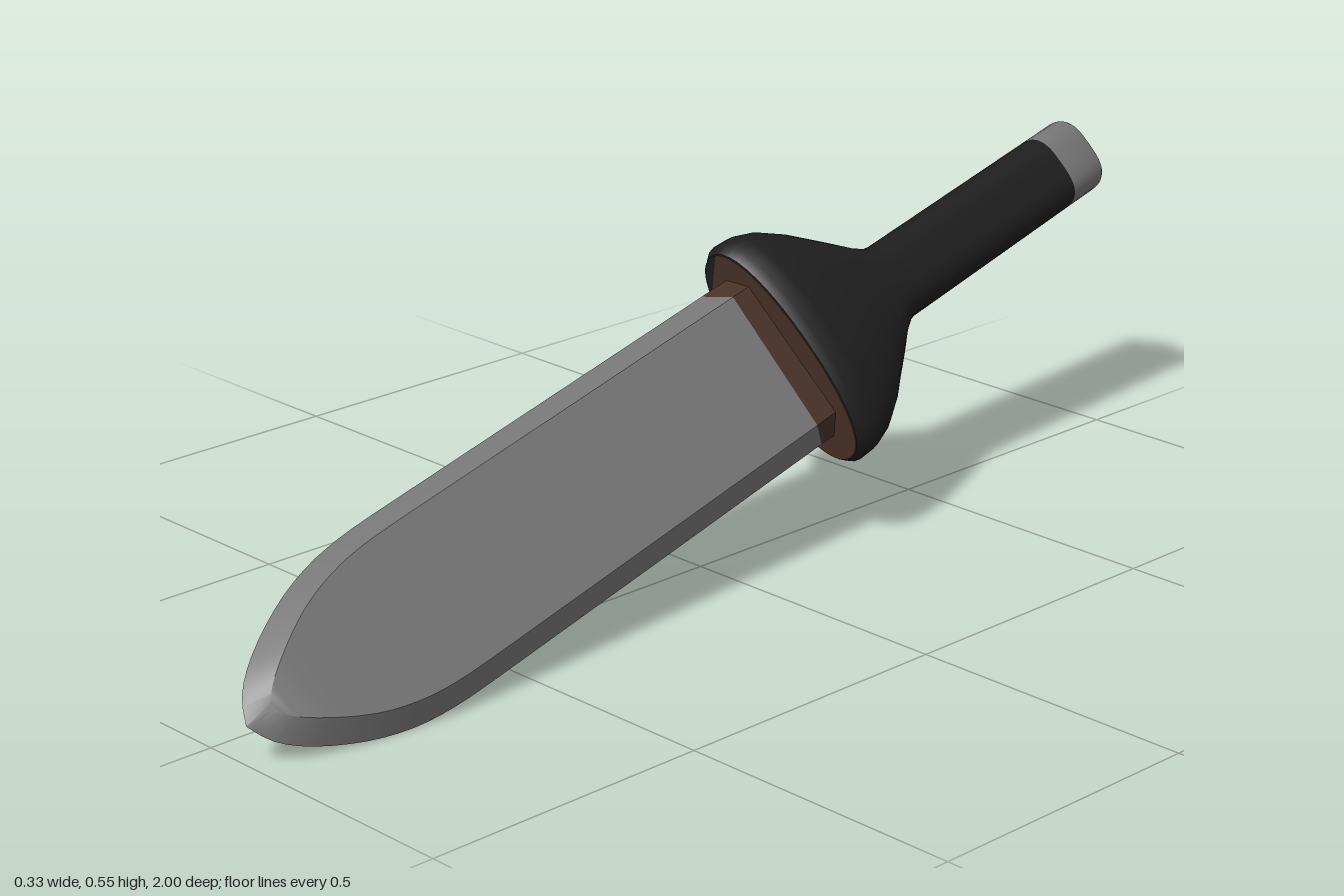
import * as THREE from 'three';
import { toCreasedNormals } from 'three/addons/utils/BufferGeometryUtils.js';

const mat = (name, color) => {
  const m = new THREE.MeshStandardMaterial({ color });
  m.name = name;
  return m;
};

// Skin a list of rings (each counter-clockwise about +z, ordered by rising z)
function loft(rings, crease, capStart = true, capEnd = true) {
  const n = rings[0].length;
  const pos = rings.flat(2);
  const idx = [];
  for (let i = 0; i < rings.length - 1; i++) {
    for (let j = 0; j < n; j++) {
      const k = (j + 1) % n;
      const a = i * n + j, b = i * n + k, c = a + n, d = b + n;
      idx.push(a, b, d, a, d, c);
    }
  }
  const last = (rings.length - 1) * n;
  for (let j = 1; j < n - 1; j++) {
    if (capStart) idx.push(0, j + 1, j);
    if (capEnd) idx.push(last, last + j, last + j + 1);
  }
  const g = new THREE.BufferGeometry();
  g.setAttribute('position', new THREE.Float32BufferAttribute(pos, 3));
  g.setIndex(idx);
  return toCreasedNormals(g, crease);
}

// Rounded-rectangle-like section: half sizes a and b, roundness power p
function oval(z, a, b, p, n = 40) {
  const pw = (v) => Math.sign(v) * Math.abs(v) ** (2 / p);
  return Array.from({ length: n }, (_, i) => {
    const t = (i / n) * Math.PI * 2;
    return [a * pw(Math.cos(t)), b * pw(Math.sin(t)), z];
  });
}

// Six-sided blade section: edge at (zE, w), flat corner at (zI, wi), half thickness t
const bladeRing = (zE, w, zI, wi, t) => [
  [w, 0, zE], [wi, t, zI], [-wi, t, zI], [-w, 0, zE], [-wi, -t, zI], [wi, -t, zI],
];

export function createModel() {
  const steel = mat('steel', 0x777777);
  const black = mat('black grip', 0x1e1e1e);
  const brown = mat('brown', 0x4a3329);
  const knife = new THREE.Group();
  knife.name = 'knife';
  const add = (name, geo, material) => {
    const m = new THREE.Mesh(geo, material);
    m.name = name;
    knife.add(m);
  };

  // Blade: straight sides, then curved to a point on the axis
  const W = 0.155, WI = 0.125, T = 0.037;
  const edge = new THREE.SplineCurve([
    [0.8, W], [0.88, 0.153], [0.96, 0.143], [1.04, 0.119], [1.12, 0.08], [1.17, 0.041], [1.194, 0],
  ].map((p) => new THREE.Vector2(...p)));
  const flat = new THREE.SplineCurve([
    [0.8, WI], [0.88, 0.123], [0.95, 0.114], [1.02, 0.094], [1.09, 0.06], [1.135, 0.029], [1.16, 0],
  ].map((p) => new THREE.Vector2(...p)));
  const wavy = [0.005, 0.02, 0.012, 0.035, 0.02, 0.015];
  const seam = bladeRing(0, W, 0, WI, T).map(([x, y], i) => [x, y, wavy[i]]);
  const rings = [seam];
  const N = 18;
  for (let i = 0; i <= N; i++) {
    const e = edge.getPoint(i / N), f = flat.getPoint(i / N);
    const t = T - 0.014 * Math.max(0, (i / N - 0.7) / 0.3);
    rings.push(bladeRing(e.x, Math.max(0, e.y), f.x, Math.max(0, f.y), t));
  }
  add('blade', loft(rings, 0.5, false, true), steel);

  // Brown collar around the blade root
  add('bladeCollar', loft([bladeRing(-0.04, W, -0.04, WI, T), seam], 0.5, true, false), brown);

  // Guard flaring out of the grip
  add('guardAndGrip', loft([
    oval(-0.755, 0.069, 0.065, 3),
    oval(-0.31, 0.07, 0.066, 3),
    oval(-0.285, 0.074, 0.067, 2.9),
    oval(-0.26, 0.09, 0.07, 2.7),
    oval(-0.22, 0.125, 0.075, 2.5),
    oval(-0.165, 0.171, 0.081, 2.3),
    oval(-0.12, 0.199, 0.085, 2.2),
    oval(-0.08, 0.211, 0.086, 2.2),
    oval(-0.045, 0.212, 0.086, 2.2),
    oval(-0.03, 0.202, 0.077, 2.2),
  ], 0.7), black);

  // Brown front of the guard, with a black patch at its upper end
  const face = oval(0, 0.2, 0.075, 2.2, 80);
  const plate = (pts) => new THREE.ShapeGeometry(
    new THREE.Shape(pts.map(([x, y]) => new THREE.Vector2(x, y))));
  add('guardFace', plate(face).translate(0, 0, -0.028), brown);
  add('guardFacePatch',
    plate(face.filter(([x, y]) => x < -0.145 && y < 0.016)).translate(0, 0, -0.026), black);

  // Metal pommel at the end of the grip
  add('pommel', loft([
    oval(-0.842, 0.066, 0.062, 3),
    oval(-0.836, 0.069, 0.065, 3),
    oval(-0.755, 0.069, 0.065, 3),
  ], 0.6), steel);

  // Pose: local z runs to the tip, local x across the blade
  const along = new THREE.Vector3(0.08, -0.204, 0.976).normalize();
  const across = new THREE.Vector3(0.6, -0.77, -0.2);
  across.addScaledVector(along, -across.dot(along)).normalize();
  const thick = new THREE.Vector3().crossVectors(along, across);
  knife.quaternion.setFromRotationMatrix(new THREE.Matrix4().makeBasis(across, thick, along));
  knife.position.set(-0.0075, 0.315, -0.165);

  const model = new THREE.Group();
  model.name = 'model';
  model.add(knife);
  return model;
}
